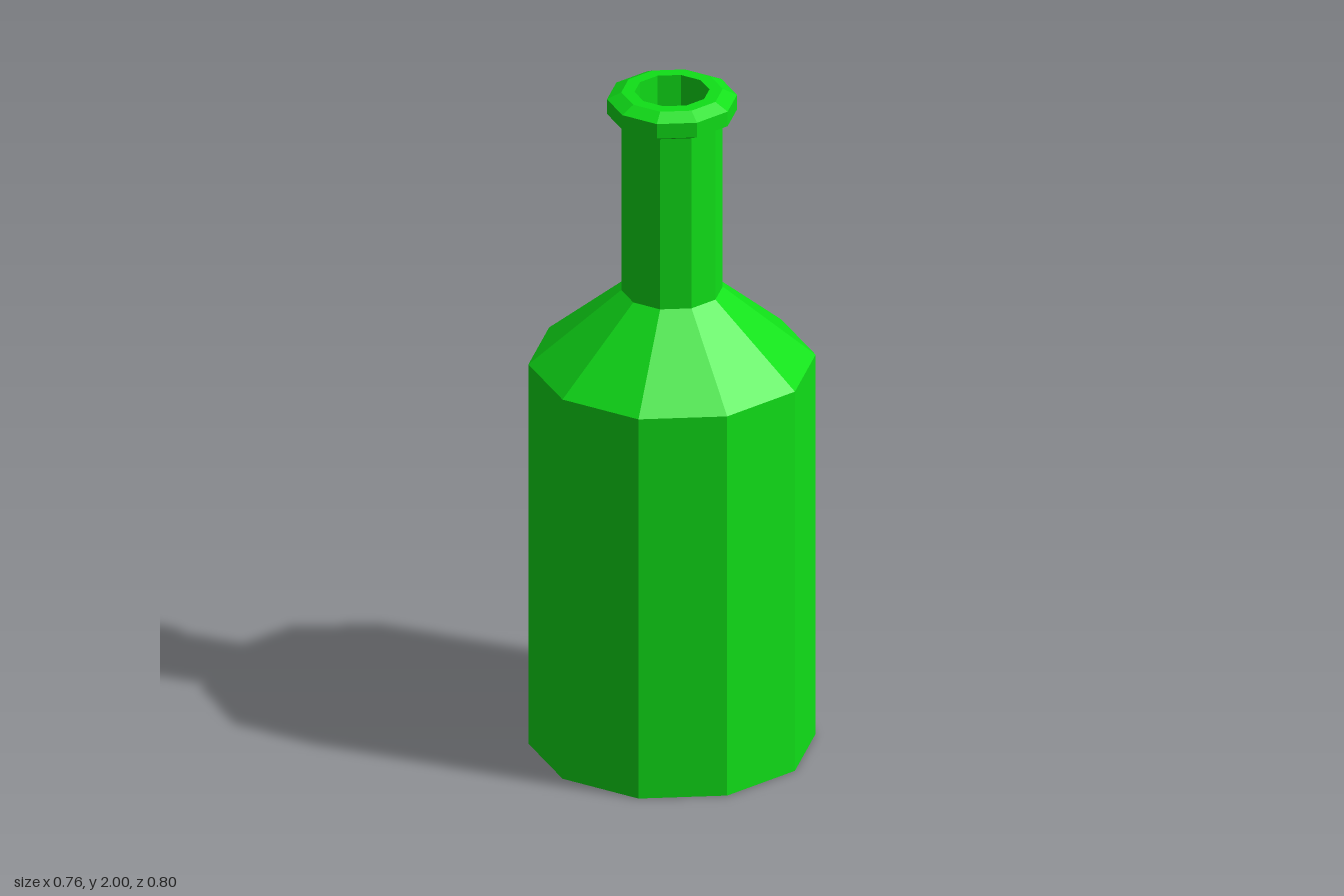
import * as THREE from 'three';

const SIDES = 10;

// Revolves a [radius, height] profile into a faceted ten-sided surface.
function faceted(name, profile, material) {
  const points = profile.map(([r, y]) => new THREE.Vector2(r, y));
  const mesh = new THREE.Mesh(new THREE.LatheGeometry(points, SIDES), material);
  mesh.name = name;
  return mesh;
}

export function createModel() {
  const model = new THREE.Group();
  model.name = 'bottle';
  const glass = new THREE.MeshStandardMaterial({ color: 0x10e018, flatShading: true });

  // Closed base and straight walls
  model.add(faceted('body', [[0, 0], [0.402, 0], [0.402, 1.17]], glass));

  // Sloping shoulder
  model.add(faceted('shoulder', [[0.402, 1.17], [0.142, 1.39]], glass));

  // Straight neck
  model.add(faceted('neck', [[0.142, 1.39], [0.142, 1.915]], glass));

  // Lip with bevels above and below
  model.add(faceted('lip', [
    [0.142, 1.915], [0.182, 1.935], [0.182, 1.98], [0.142, 2], [0.105, 2],
  ], glass));

  // Hollow bore down to the foot of the neck
  model.add(faceted('bore', [[0.105, 2], [0.105, 1.39], [0, 1.39]], glass));

  return model;
}
